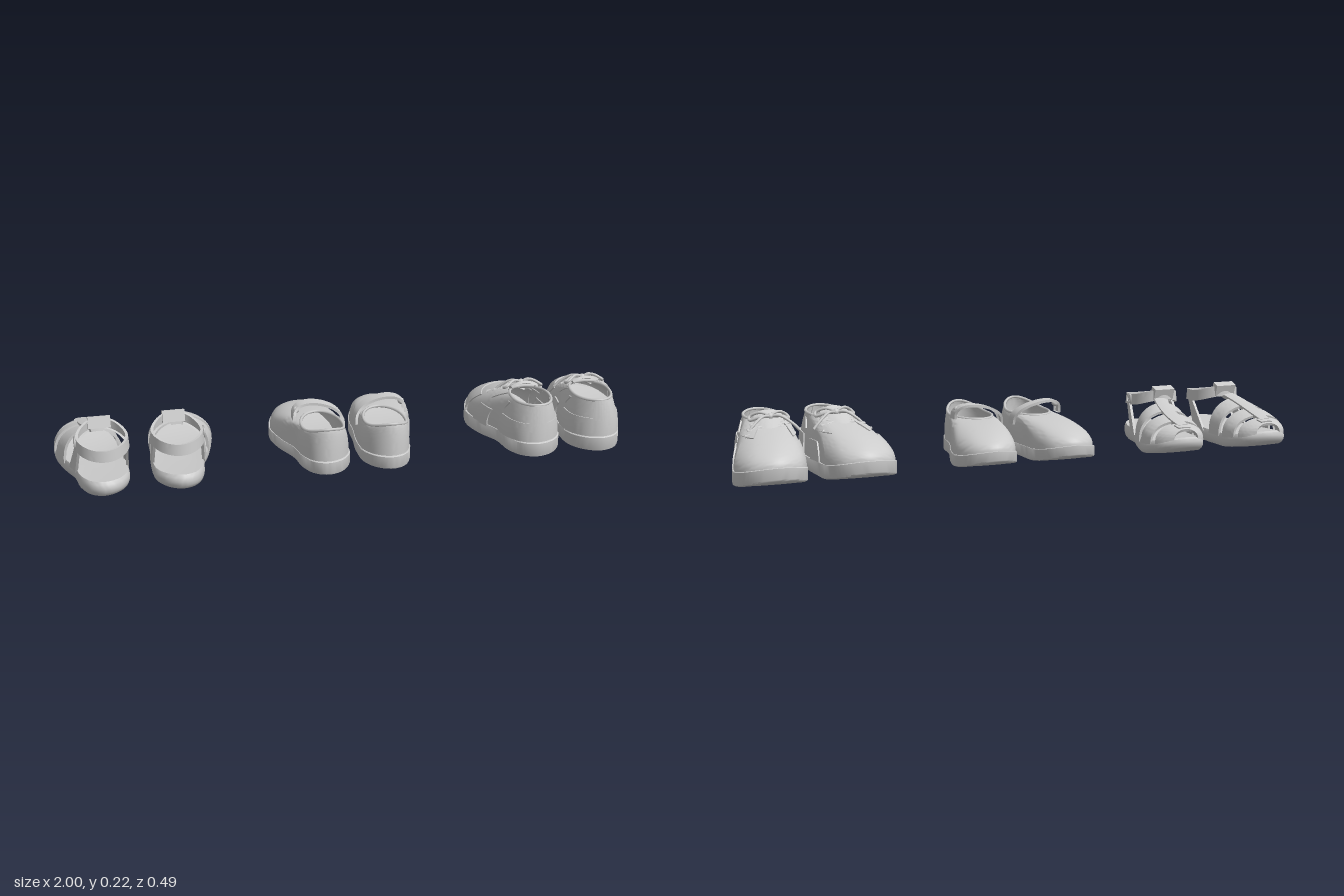
import * as THREE from 'three';
import { mergeVertices, toCreasedNormals } from 'three/addons/utils/BufferGeometryUtils.js';

const V = (x, y, z) => new THREE.Vector3(x, y, z);
const mix = THREE.MathUtils.lerp;
const material = new THREE.MeshStandardMaterial({ color: 0xcccccc, side: THREE.DoubleSide });

// Footprint of a shoe on the +x side, from toe round the outer side to heel and back
const footprint = new THREE.CatmullRomCurve3([
  [0.152, -0.25], [0.235, -0.215], [0.272, -0.13], [0.255, -0.04], [0.215, 0.07], [0.2, 0.16], [0.165, 0.22],
  [0.115, 0.24], [0.06, 0.22], [0.018, 0.16], [0.012, 0.06], [0.025, -0.045], [0.03, -0.135], [0.07, -0.217],
].map(([x, z]) => V(x, 0, z)), true);

// Footprint point fitted to a style: shifted and narrowed in x, scaled about the middle
function outline(s, u, k = 1) {
  const p = footprint.getPoint(((u % 1) + 1) % 1);
  return V(s.shift + s.width * mix(0.135, p.x, k), 0, p.z * k);
}

// Opening of the shoe, aligned with the footprint parameter
function rim(s, u) {
  const f = u * Math.PI * 2, c = Math.cos(f);
  const y = s.sideY + (c > 0 ? (s.frontY - s.sideY) * c * c : (s.heelY - s.sideY) * c * c);
  return V(s.cx + s.a * Math.sin(f), y, s.cz - s.b * c);
}

const soleTop = z => 0.056 + (z < -0.08 ? 1.0 * (z + 0.08) ** 2 : 0.06 * Math.max(z, 0));

// Surface of the upper: v = 0 at the sole, v = 1 at the opening
const upper = s => (u, v) => {
  const o = outline(s, u, s.inset), r = rim(s, u), ang = v * Math.PI / 2;
  const h = 1 - Math.cos(ang), f = mix(h, Math.pow(Math.sin(ang), 0.75), s.round);
  return V(mix(o.x, r.x, h), mix(soleTop(o.z) - 0.006, r.y, f), mix(o.z, r.z, h));
};

function grid(fn, nu, nv, crease = 0.7) {
  const pos = [], idx = [];
  for (let j = 0; j <= nv; j++) for (let i = 0; i <= nu; i++) pos.push(...fn(i, j).toArray());
  for (let j = 0; j < nv; j++) for (let i = 0; i < nu; i++) {
    const a = j * (nu + 1) + i, b = a + nu + 1;
    idx.push(a, b, a + 1, a + 1, b, b + 1);
  }
  const g = new THREE.BufferGeometry();
  g.setAttribute('position', new THREE.Float32BufferAttribute(pos, 3));
  g.setIndex(idx);
  return toCreasedNormals(mergeVertices(g, 1e-5), crease);
}

// Raised patch on a surface, with edges folded down to it
function slab(fn, u0, u1, v0, v1, t = 0.005, nu = 14, nv = 14) {
  const e = 1e-3, clamp = THREE.MathUtils.clamp;
  return grid((i, j) => {
    const u = mix(u0, u1, clamp((i - 1) / nu, 0, 1)), v = mix(v0, v1, clamp((j - 1) / nv, 0, 1));
    const du = fn(u + e, v).sub(fn(u - e, v));
    const dv = fn(u, Math.min(v + e, Math.max(v1, v0))).sub(fn(u, Math.max(v - e, 0)));
    const edge = i === 0 || j === 0 || i === nu + 2 || j === nv + 2;
    return fn(u, v).addScaledVector(dv.cross(du).normalize(), edge ? -0.003 : t);
  }, nu + 2, nv + 2);
}

function add(group, name, geometry) {
  const m = new THREE.Mesh(geometry, material);
  m.name = name;
  group.add(m);
  return m;
}

const tube = (pts, r, closed = false, n = 20) =>
  new THREE.TubeGeometry(new THREE.CatmullRomCurve3(pts, closed), n, r, 6, closed);

function addSole(g, s, profile) {
  const base = z => s.bottom(z);
  add(g, 'sole', grid((i, j) => {
    const [k, f] = profile[j], p = outline(s, i / 72, k);
    p.y = mix(base(p.z), soleTop(p.z), f);
    return p;
  }, 72, profile.length - 1));
}

function addUpper(g, s) {
  const S = upper(s);
  add(g, 'upper', grid((i, j) => S(i / 72, j / 18), 72, 18, 1.2));
  add(g, 'collarPiping', tube(Array.from({ length: 32 }, (_, i) => rim(s, i / 32)), 0.005, true, 64));
  // Footbed inside the opening
  add(g, 'insole', grid((i, j) => {
    const p = outline(s, i / 48, 0.88 * j / 4);
    p.y = soleTop(p.z) + 0.004;
    return p;
  }, 48, 4));
  return S;
}

const squareSole = [[0, 0], [0.4, 0], [0.7, 0], [0.93, 0.02], [0.99, 0.1], [1, 0.2], [1, 0.95], [0.985, 1], [0.7, 1], [0.4, 1], [0, 1]];
const roundSole = [[0, 0], [0.4, 0], [0.7, 0], [0.9, 0.04], [0.96, 0.18], [0.99, 0.38], [1, 0.6], [0.985, 0.85], [0.95, 1], [0.7, 0.96], [0.4, 0.94], [0, 0.94]];
const springToe = (heel, ball) => z =>
  ball + (z < -0.06 ? 0.9 * (z + 0.06) ** 2 : (heel - ball) * THREE.MathUtils.smoothstep(z, -0.06, 0.12));

function laceUpShoe() {
  const g = new THREE.Group();
  const s = { shift: 0, width: 1, inset: 0.95, round: 0.58, cx: 0.108, a: 0.066, cz: 0.107, b: 0.11,
    heelY: 0.2, sideY: 0.193, frontY: 0.183, bottom: springToe(0.015, 0.004) };
  addSole(g, s, squareSole);
  const S = addUpper(g, s);
  add(g, 'toeCap', slab(S, -0.145, 0.145, 0, 0.55, 0.004, 28));
  add(g, 'heelCounter', slab(S, 0.295, 0.705, 0, 0.46, 0.004, 36));
  add(g, 'heelTab', slab(S, 0.455, 0.545, 0.4, 0.98, 0.006));
  for (const m of [1, -1]) {
    const side = (a, b, c, d, t) => m > 0 ? slab(S, a, b, c, d, t) : slab(S, -b, -a, c, d, t);
    add(g, 'sidePanel', side(0.196, 0.25, 0, 0.42, 0.005));
    add(g, 'ankleTab', side(0.272, 0.29, 0.6, 0.85, 0.005));
    add(g, 'eyestay', side(0.09, 0.2, 0.66, 0.97, 0.004));
  }
  // Tongue rising out of the front of the opening
  const tongue = (u, v) => V(0.112 - u * 0.045 + 0.012 * (1 - v), 0.166 + 0.052 * v - 0.014 * u * u, -0.045 + 0.095 * v);
  add(g, 'tongue', slab((u, v) => tongue(-u, v), -1, 1, 0, 1, 0.006));
  // Laces: straight rows with diagonals between them
  const rows = [0.64, 0.75, 0.86, 0.96];
  const lace = (v, w) => {
    const p = S(0.14, v), q = S(-0.14, w), mid = p.clone().lerp(q, 0.5);
    mid.y = Math.max(S(0, (v + w) / 2).y, mid.y) + 0.012;
    p.y += 0.006; q.y += 0.006;
    add(g, 'lace', tube([p, mid, q], 0.0055));
  };
  rows.forEach((v, i) => {
    lace(v, v);
    if (i) { lace(rows[i - 1], v); lace(v, rows[i - 1]); }
  });
  // Bow with two loops and two loose ends
  const k = V(0.112, 0.206, 0.012);
  add(g, 'bowKnot', new THREE.SphereGeometry(0.011, 12, 8)).position.copy(k);
  for (const m of [1, -1]) {
    const at = (x, y, z) => V(k.x + m * x, k.y + y, k.z + z);
    add(g, 'bowLoop', tube([k, at(0.03, 0.012, 0.012), at(0.062, -0.002, 0.03), at(0.066, -0.012, 0.012), at(0.035, 0, -0.006)], 0.005, true, 32));
    add(g, 'laceEnd', tube([k, at(0.03, 0.002, -0.018), at(0.068, -0.024, -0.035), at(0.088, -0.045, -0.04)], 0.005));
  }
  return g;
}

function strapShoe() {
  const g = new THREE.Group();
  const s = { shift: 0.008, width: 0.89, inset: 0.965, round: 0.85, cx: 0.108, a: 0.07, cz: 0.107, b: 0.117,
    heelY: 0.182, sideY: 0.152, frontY: 0.152, bottom: springToe(0.02, 0.012) };
  addSole(g, s, squareSole);
  addUpper(g, s);
  // Instep strap, higher on the outer side, bowed forward in the middle
  const strap = (u, a) => V(0.108 + 0.084 * Math.cos(a), 0.135 + 0.058 * Math.pow(Math.max(Math.sin(a), 0), 0.6) + 0.016 * Math.cos(a),
    0.04 - 0.028 * Math.sin(a) + 0.02 * u);
  add(g, 'strap', slab(strap, -1, 1, 0, Math.PI, 0.006, 6, 32));
  const button = add(g, 'strapButton', new THREE.SphereGeometry(0.011, 14, 10));
  button.position.set(0.183, 0.183, 0.034);
  return g;
}

function sandal() {
  const g = new THREE.Group();
  const s = { shift: 0.028, width: 0.885, cx: 0.124, a: 0.083, cz: 0.115, b: 0.098,
    heelY: 0.133, sideY: 0.146, frontY: 0.172, bottom: springToe(0.012, 0.006) };
  addSole(g, s, roundSole);
  // Arch across the foot: a runs from the outer edge to the inner edge
  const arch = (u, a) => {
    const p = outline(s, u, 0.96), q = outline(s, 1 - u, 0.96), t = (1 - Math.cos(a)) / 2;
    const z = mix(p.z, q.z, t), y0 = soleTop(z) - 0.012;
    return V(mix(p.x, q.x, t), y0 + (0.163 + 0.27 * z - y0) * Math.pow(Math.max(Math.sin(a), 0), 0.75), z);
  };
  const bands = [['toeBand', 0.042, 0.1], ['middleBand', 0.116, 0.165], ['instepBand', 0.186, 0.236]];
  for (const [name, a, b] of bands) add(g, name, slab(arch, a, b, 0, Math.PI, 0.006, 8, 36));
  add(g, 'centreStrap', slab(arch, 0.075, 0.272, Math.PI / 2 - 0.22, Math.PI / 2 + 0.22, 0.012, 24, 6));
  add(g, 'toeTab', slab(arch, 0.055, 0.085, Math.PI / 2 - 0.35, Math.PI / 2 + 0.35, 0.011, 6, 6));
  // Ankle strap round the heel, with posts down to the sole
  const ankle = (u, v) => {
    const p = rim(s, u), lean = 0.006 * v;
    return V(mix(p.x, s.cx, lean * 6), p.y + 0.038 * v, mix(p.z, s.cz, lean * 6));
  };
  add(g, 'ankleStrap', slab(ankle, 0, 1, 0, 1, 0.006, 60, 4));
  const post = (u, v) => {
    const p = outline(s, u, 0.95);
    p.y = soleTop(p.z) - 0.01;
    return p.lerp(ankle(u, 0.6), v);
  };
  for (const u of [0.285, 0.715]) add(g, 'sidePost', slab(post, u - 0.024, u + 0.024, 0, 1, 0.006, 6, 12));
  // Loop holding the ankle strap to the centre strap
  const loop = add(g, 'strapLoop', new THREE.BoxGeometry(0.075, 0.04, 0.03));
  loop.position.set(s.cx, 0.196, 0.026);
  loop.rotation.x = -0.35;
  const buckle = add(g, 'buckle', new THREE.TorusGeometry(0.019, 0.004, 6, 4, Math.PI * 2));
  buckle.position.set(s.cx + s.a + 0.006, 0.168, 0.115);
  buckle.rotation.set(0, Math.PI / 2, Math.PI / 4, 'YXZ');
  return g;
}

// A pair: the shoe and its mirror image
function pair(name, make, x) {
  const g = new THREE.Group();
  g.name = name;
  g.position.x = x;
  for (const side of [1, -1]) {
    const shoe = make();
    shoe.name = side > 0 ? 'shoeOnLeft' : 'shoeOnRight';
    shoe.scale.x = side;
    g.add(shoe);
  }
  return g;
}

export function createModel() {
  const model = new THREE.Group();
  model.name = 'shoeSet';
  model.add(pair('sandals', sandal, -0.73), pair('strapShoes', strapShoe, -0.006), pair('laceUpShoes', laceUpShoe, 0.726));
  return model;
}
